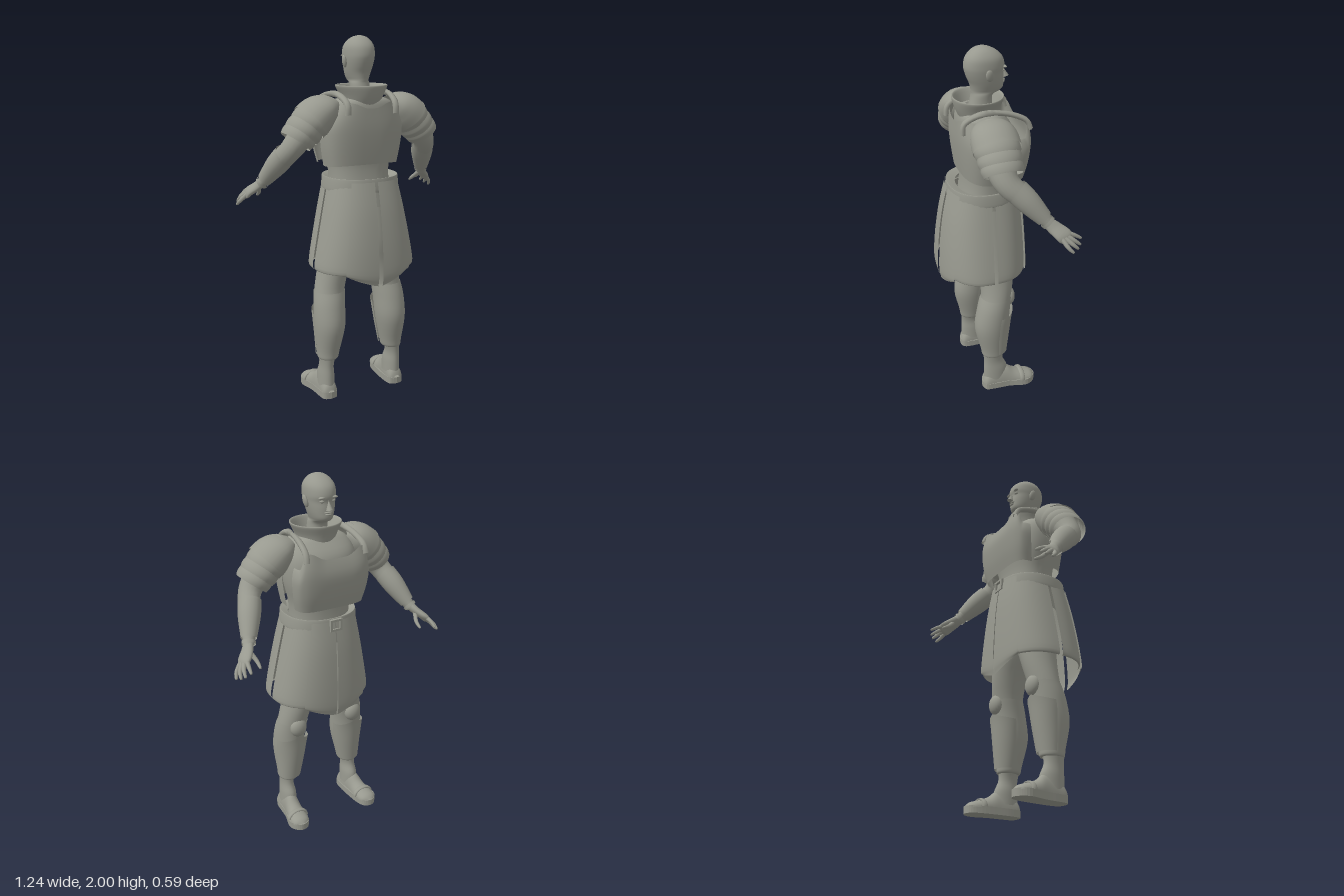
import * as THREE from 'three';
import { mergeVertices } from 'three/addons/utils/BufferGeometryUtils.js';

const armour = new THREE.MeshStandardMaterial({ color: 0x98998f, side: THREE.DoubleSide });
armour.name = 'warm grey';
const PI = Math.PI, FRONT = -PI / 2, BACK = PI / 2;

function add(group, name, geometry, pos = [0, 0, 0], scale = [1, 1, 1], rot = [0, 0, 0]) {
  const m = new THREE.Mesh(geometry, armour);
  m.name = name;
  m.position.set(...pos);
  m.scale.set(...scale);
  m.rotation.set(...rot);
  group.add(m);
  return m;
}

// Smooth surface from a rule f(u, v) -> [x, y, z]
function sheet(nu, nv, f) {
  const pos = [], idx = [];
  for (let j = 0; j <= nv; j++) for (let i = 0; i <= nu; i++) pos.push(...f(i / nu, j / nv));
  for (let j = 0; j < nv; j++) for (let i = 0; i < nu; i++) {
    const a = j * (nu + 1) + i, b = a + nu + 1;
    idx.push(a, b, a + 1, a + 1, b, b + 1);
  }
  let g = new THREE.BufferGeometry();
  g.setAttribute('position', new THREE.Float32BufferAttribute(pos, 3));
  g.setIndex(idx);
  g = mergeVertices(g, 1e-5);
  g.computeVertexNormals();
  return g;
}

// Catmull-Rom blend of table rows, t from 0 to 1
function sample(rows, t) {
  const s = t * (rows.length - 1), i = Math.min(Math.floor(s), rows.length - 2), k = s - i;
  const at = n => rows[Math.max(0, Math.min(rows.length - 1, n))];
  return rows[0].map((_, c) => {
    const a = at(i - 1)[c], b = at(i)[c], d = at(i + 1)[c], e = at(i + 2)[c];
    return b + 0.5 * k * (d - a + k * (2 * a - 5 * b + 4 * d - e + k * (3 * (b - d) + e - a)));
  });
}

// Upright loft; rows are [y, centre x, half width, back z, front z]
function loft(rows, { e = 2, a0 = 0, a1 = 2 * PI, nu = 36, grow = 0, shift = () => 0 } = {}) {
  const pw = c => Math.sign(c) * Math.pow(Math.abs(c) < 1e-9 ? 0 : Math.abs(c), 2 / e);
  return sheet(nu, (rows.length - 1) * 4, (u, v) => {
    const [y, cx, rx, zb, zf] = sample(rows, v), a = a0 + (a1 - a0) * u;
    return [cx + (rx + grow) * pw(Math.cos(a)), y + shift(a, v),
      (zb + zf) / 2 + ((zb - zf) / 2 + grow) * pw(Math.sin(a))];
  });
}

// Limb along a path; rows are [x, y, z, radius across, radius along z]
function limb(rows, nu = 20) {
  const curve = t => new THREE.Vector3(...sample(rows, t).slice(0, 3));
  return sheet(nu, (rows.length - 1) * 4, (u, v) => {
    const s = sample(rows, v), a = u * 2 * PI;
    const t = curve(Math.min(1, v + 0.01)).sub(curve(Math.max(0, v - 0.01))).normalize();
    const n = new THREE.Vector3(0, 0, 1).cross(t).normalize(), b = t.clone().cross(n);
    const p = new THREE.Vector3(s[0], s[1], s[2])
      .addScaledVector(n, Math.max(0, s[3]) * Math.cos(a)).addScaledVector(b, -Math.max(0, s[4]) * Math.sin(a));
    return p.toArray();
  });
}

const ball = () => new THREE.SphereGeometry(1, 20, 14);

function buildHead(g) {
  add(g, 'head', loft([
    [1.6, 0, 0.07, 0.12, -0.04], [1.7, 0, 0.054, 0.095, -0.025], [1.75, 0, 0.051, 0.085, -0.03],
    [1.768, 0, 0.05, 0.085, -0.07], [1.785, 0, 0.056, 0.087, -0.084], [1.81, 0, 0.064, 0.093, -0.086],
    [1.84, 0, 0.071, 0.106, -0.086], [1.87, 0, 0.076, 0.116, -0.084], [1.9, 0, 0.079, 0.121, -0.09],
    [1.94, 0, 0.076, 0.114, -0.079], [1.97, 0, 0.06, 0.092, -0.05], [1.99, 0, 0.036, 0.062, -0.012],
    [2.0, 0, 0, 0.025, 0.025]], { e: 2.15 }));
  add(g, 'nose', new THREE.ConeGeometry(0.017, 0.05, 12), [0, 1.855, -0.09], [1, 1, 1.3], [0.2, 0, 0]);
  add(g, 'upperLip', ball(), [0, 1.817, -0.083], [0.024, 0.006, 0.012]);
  add(g, 'lowerLip', ball(), [0, 1.806, -0.082], [0.02, 0.007, 0.012]);
  for (const s of [-1, 1]) {
    add(g, 'ear', ball(), [s * 0.08, 1.865, 0.012], [0.011, 0.033, 0.02], [0.2, 0, -s * 0.2]);
    add(g, 'eye', ball(), [s * 0.031, 1.874, -0.072], [0.014, 0.008, 0.012]);
    add(g, 'brow', ball(), [s * 0.032, 1.893, -0.077], [0.024, 0.007, 0.013], [0, s * 0.3, 0]);
  }
}

function buildTorso(g) {
  add(g, 'torso', loft([[1.1, 0, 0.17, 0.17, -0.12], [1.3, 0, 0.168, 0.14, -0.11], [1.45, 0, 0.2, 0.155, -0.13],
    [1.58, 0, 0.2, 0.16, -0.12], [1.66, 0, 0.16, 0.15, -0.06], [1.69, 0, 0.07, 0.12, -0.03]], { e: 2.4 }));
  add(g, 'backPlate', loft([[1.32, 0, 0.203, 0.158, -0.1], [1.44, 0, 0.222, 0.172, -0.1], [1.55, 0, 0.222, 0.18, -0.1],
    [1.66, 0, 0.165, 0.18, -0.08]], { e: 3, a0: -0.1, a1: PI + 0.1,
    shift: (a, v) => -0.03 * v * Math.exp(-Math.pow((a - BACK) / 0.3, 2)) + 0.015 * (1 - v) * Math.max(0, Math.sin(a)) }));
  // Squared chest plate with notched neckline
  add(g, 'breastPlate', loft([[1.325, 0, 0.197, 0.1, -0.158], [1.42, 0, 0.214, 0.1, -0.18], [1.54, 0, 0.222, 0.1, -0.19],
    [1.645, 0, 0.205, 0.08, -0.17]], { e: 4.5, a0: -PI + 0.1, a1: -0.1, nu: 48,
    shift: (a, v) => v * v * (-0.045 * Math.exp(-Math.pow((a - FRONT) / 0.28, 2))
      - 0.085 * THREE.MathUtils.smoothstep(Math.abs(a - FRONT), 0.7, 1.1)) }));
  add(g, 'collar', loft([[1.64, 0, 0.1, 0.15, -0.06], [1.69, 0, 0.115, 0.172, -0.07], [1.74, 0, 0.14, 0.184, -0.085],
    [1.738, 0, 0.128, 0.172, -0.073], [1.67, 0, 0.098, 0.15, -0.055]]));
  for (const s of [-1, 1]) {
    add(g, 'shoulderStrap', limb([[s * 0.175, 1.6, -0.172, 0.008, 0.025], [s * 0.17, 1.65, -0.145, 0.025, 0.01],
      [s * 0.16, 1.69, -0.05, 0.025, 0.01], [s * 0.15, 1.7, 0.07, 0.025, 0.01], [s * 0.14, 1.66, 0.165, 0.025, 0.01],
      [s * 0.14, 1.6, 0.178, 0.022, 0.008]].map(([x, y, z]) => [x, y, z, 0.018, 0.014]), 8));
  }
  add(g, 'belt', loft([[1.195, 0, 0.2, 0.215, -0.15], [1.2, 0, 0.207, 0.223, -0.16], [1.26, 0, 0.203, 0.22, -0.158],
    [1.265, 0, 0.196, 0.212, -0.15], [1.25, 0, 0.165, 0.17, -0.12]], { e: 2.3 }));
  // Open rectangular buckle
  for (const s of [-1, 1]) {
    add(g, 'buckleSide', new THREE.BoxGeometry(0.012, 0.06, 0.015), [s * 0.03, 1.23, -0.166]);
    add(g, 'buckleBar', new THREE.BoxGeometry(0.072, 0.012, 0.015), [0, 1.23 + s * 0.027, -0.166]);
  }
}

function buildSkirt(g) {
  const rows = [[0.762, 0, 0.278, 0.268, -0.176], [0.785, 0, 0.288, 0.277, -0.184], [0.93, 0, 0.262, 0.268, -0.181],
    [1.1, 0, 0.227, 0.245, -0.17], [1.25, 0, 0.194, 0.212, -0.15]];
  const panel = (name, a0, a1, grow, mid) => add(g, name, loft(rows, { e: 2.5, a0, a1, grow, nu: 14,
    shift: (a, v) => mid === undefined ? 0 : -0.07 * (1 - v) ** 3 * Math.max(0, 1 - Math.abs(a - mid) / 0.62) }));
  // Pointed centre tassets and wrapping side tassets
  panel('backTassetLeft', BACK - 0.6, BACK - 0.02, 0.012, BACK);
  panel('backTassetRight', BACK + 0.02, BACK + 0.6, 0.012, BACK);
  panel('frontTassetLeft', FRONT + 0.005, FRONT + 0.6, 0.01, FRONT);
  panel('frontTassetRight', FRONT - 0.6, FRONT - 0.005, 0.01, FRONT);
  for (const [name, o] of [['Left', 0], ['Right', PI]]) {
    const s = o ? -1 : 1;
    panel('sideTassetBack' + name, o + s * 0.02, o + s * 1.03, 0);
    panel('sideTassetFront' + name, o - s * 1.03, o - s * 0.02, 0);
  }
}

function buildArm(g) {
  add(g, 'arm', limb([[0.19, 1.62, 0.05, 0.085, 0.09], [0.27, 1.59, 0.055, 0.085, 0.09], [0.345, 1.5, 0.055, 0.068, 0.078],
    [0.4, 1.425, 0.035, 0.058, 0.064], [0.44, 1.35, -0.04, 0.052, 0.055], [0.49, 1.245, -0.13, 0.031, 0.034],
    [0.503, 1.222, -0.15, 0.028, 0.031]]));
  add(g, 'bracer', limb([[0.418, 1.395, 0.0, 0.06, 0.064], [0.448, 1.335, -0.055, 0.058, 0.061],
    [0.488, 1.25, -0.127, 0.04, 0.043]]));
  add(g, 'wristBand', limb([[0.494, 1.238, -0.136, 0.036, 0.038], [0.5, 1.226, -0.147, 0.036, 0.038]]));
  // Dome and stepped lames of the shoulder guard
  add(g, 'shoulderDome', limb([[0.155, 1.655, 0.05, 0.03, 0.06], [0.2, 1.635, 0.05, 0.072, 0.105],
    [0.25, 1.605, 0.05, 0.097, 0.122], [0.295, 1.565, 0.05, 0.105, 0.125]], 28));
  [[0.28, 1.578, 0.098], [0.315, 1.542, 0.094], [0.345, 1.51, 0.088]].forEach(([x, y, r], i) => add(g, 'shoulderLame' + (i + 1),
    limb([[x, y, 0.05, r, r + 0.018], [x + 0.02, y - 0.022, 0.05, r + 0.003, r + 0.02],
      [x + 0.036, y - 0.044, 0.05, r - 0.002, r + 0.012]], 28)));
  // Hand
  add(g, 'palm', limb([[0.498, 1.232, -0.14, 0.024, 0.03], [0.52, 1.205, -0.17, 0.022, 0.038],
    [0.552, 1.175, -0.205, 0.02, 0.044], [0.565, 1.155, -0.22, 0.012, 0.034], [0.568, 1.152, -0.223, 0, 0]]));
  const fingers = { thumb: [[0.513, 1.205, -0.175], [0.492, 1.165, -0.215], [0.49, 1.14, -0.255]],
    indexFinger: [[0.547, 1.185, -0.215], [0.556, 1.168, -0.26], [0.56, 1.145, -0.297]],
    middleFinger: [[0.556, 1.175, -0.213], [0.578, 1.15, -0.252], [0.585, 1.125, -0.284]],
    ringFinger: [[0.562, 1.168, -0.205], [0.593, 1.138, -0.238], [0.601, 1.112, -0.266]],
    littleFinger: [[0.564, 1.165, -0.192], [0.6, 1.128, -0.212], [0.614, 1.102, -0.236]] };
  for (const [name, [a, b, c]] of Object.entries(fingers)) {
    add(g, name, limb([[...a, 0.013, 0.013], [...b, 0.011, 0.011], [...c, 0.007, 0.007],
      [...c.map((v, i) => v + (v - b[i]) * 0.1), 0, 0]], 10));
  }
}

function buildLeg(g) {
  add(g, 'leg', loft([[0.06, 0.212, 0.045, 0.095, -0.05], [0.13, 0.212, 0.043, 0.094, -0.045], [0.2, 0.212, 0.038, 0.093, -0.018],
    [0.3, 0.203, 0.057, 0.11, -0.03], [0.42, 0.194, 0.08, 0.135, -0.05], [0.52, 0.19, 0.086, 0.125, -0.06],
    [0.62, 0.178, 0.084, 0.095, -0.075], [0.75, 0.147, 0.088, 0.1, -0.1], [0.9, 0.11, 0.1, 0.12, -0.11],
    [1.15, 0.085, 0.085, 0.12, -0.09]], { nu: 28 }));
  add(g, 'calfWrap', loft([[0.228, 0.205, 0.045, 0.085, -0.02], [0.235, 0.203, 0.057, 0.101, -0.032], [0.28, 0.2, 0.064, 0.109, -0.036],
    [0.42, 0.193, 0.085, 0.139, -0.055], [0.54, 0.188, 0.088, 0.122, -0.066], [0.62, 0.178, 0.087, 0.098, -0.078]]));
  add(g, 'greave', loft([[0.25, 0.2, 0.064, 0.08, -0.045], [0.38, 0.192, 0.08, 0.1, -0.062], [0.49, 0.188, 0.091, 0.1, -0.074],
    [0.545, 0.186, 0.094, 0.095, -0.082]], { a0: -PI - 0.05, a1: 0.05, nu: 24,
    shift: (a, v) => -0.035 * v * Math.abs(Math.cos(a)) }));
  add(g, 'kneePad', ball(), [0.18, 0.6, -0.062], [0.05, 0.057, 0.037]);
  // Shoe upper over a flat sole
  const rows = [[0.102, 0.212, 0.02, 0.05], [0.085, 0.212, 0.042, 0.09], [0.03, 0.213, 0.046, 0.13], [-0.03, 0.217, 0.046, 0.135],
    [-0.08, 0.222, 0.05, 0.098], [-0.14, 0.228, 0.056, 0.075], [-0.185, 0.231, 0.047, 0.06], [-0.207, 0.232, 0.015, 0.04]];
  add(g, 'foot', sheet(18, 28, (u, v) => {
    const [z, cx, w, top] = sample(rows, v), a = PI * u;
    return [cx + w * Math.cos(a), 0.03 + (top - 0.03) * Math.sin(a), z];
  }));
  const sole = new THREE.Shape(new THREE.SplineCurve([[0.212, -0.105], [0.252, -0.09], [0.262, -0.03], [0.268, 0.05], [0.29, 0.14],
    [0.272, 0.19], [0.235, 0.212], [0.192, 0.195], [0.172, 0.14], [0.164, 0.05], [0.162, -0.03], [0.172, -0.09], [0.212, -0.105]]
    .map(p => new THREE.Vector2(...p))).getPoints(48).slice(0, -1));
  add(g, 'sole', new THREE.ExtrudeGeometry(sole, { depth: 0.038, bevelEnabled: false }), [0, 0, 0], [1, 1, 1], [-PI / 2, 0, 0]);
  add(g, 'shoeStrap', new THREE.TorusGeometry(0.052, 0.008, 8, 24, PI), [0.226, 0.036, -0.125], [1.08, 0.85, 2]);
}

export function createModel() {
  const model = new THREE.Group();
  model.name = 'armouredFigure';
  buildHead(model);
  buildTorso(model);
  buildSkirt(model);
  for (const [s, side] of [[1, 'left'], [-1, 'right']]) {
    for (const [part, build] of [['Arm', buildArm], ['Leg', buildLeg]]) {
      const g = new THREE.Group();
      g.name = side + part;
      build(g);
      g.scale.x = s;
      model.add(g);
    }
  }
  return model;
}
